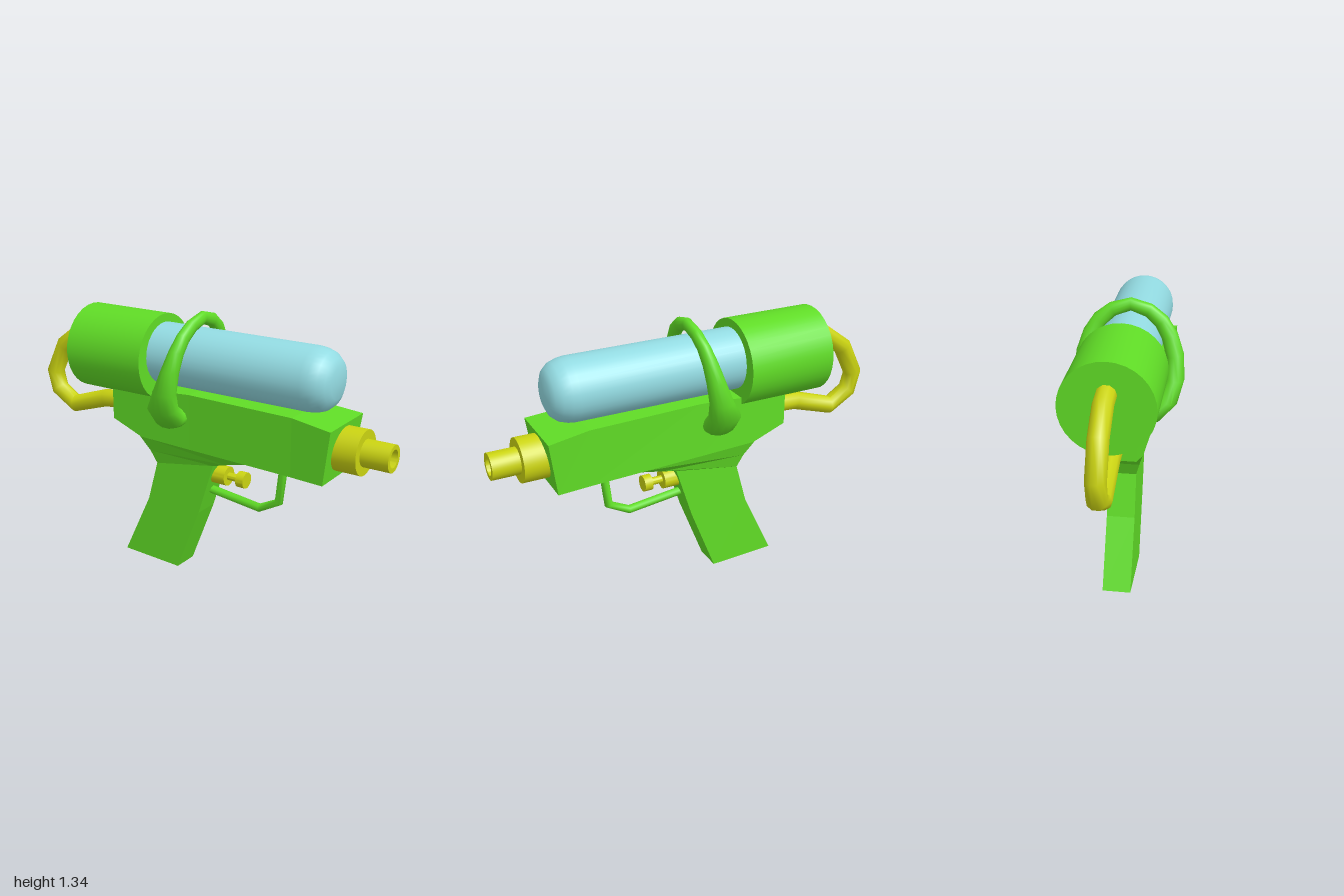
import * as THREE from 'three';
import { toCreasedNormals } from 'three/addons/utils/BufferGeometryUtils.js';

const V = (x, y, z) => new THREE.Vector3(x, y, z);
const MID = -0.01; // centre plane of the body

// Skin closed rings (counter-clockwise seen from the last one) and cap both ends
function loft(rings, crease = 0) {
  const pos = [], n = rings[0].length;
  const tri = (...pts) => pts.forEach((p) => pos.push(p.x, p.y, p.z));
  for (let i = 0; i < rings.length - 1; i++) {
    const a = rings[i], b = rings[i + 1];
    for (let j = 0; j < n; j++) {
      const k = (j + 1) % n;
      tri(a[j], a[k], b[j]);
      tri(a[k], b[k], b[j]);
    }
  }
  const first = rings[0], last = rings[rings.length - 1];
  for (let j = 1; j < n - 1; j++) {
    tri(first[0], first[j + 1], first[j]);
    tri(last[0], last[j], last[j + 1]);
  }
  const g = new THREE.BufferGeometry();
  g.setAttribute('position', new THREE.Float32BufferAttribute(pos, 3));
  g.computeVertexNormals();
  return crease ? toCreasedNormals(g, crease) : g;
}

// Elliptical tube along points; sizes gives [half width along axis, half thickness]
function sweep(points, axis, sizes, sides = 10) {
  return loft(points.map((p, i) => {
    const next = points[Math.min(i + 1, points.length - 1)];
    const prev = points[Math.max(i - 1, 0)];
    const t = next.clone().sub(prev);
    const side = t.cross(axis).normalize();
    const [w, h] = sizes(i);
    return Array.from({ length: sides }, (_, j) => {
      const a = (j / sides) * Math.PI * 2;
      return p.clone().addScaledVector(axis, Math.cos(a) * w).addScaledVector(side, Math.sin(a) * h);
    });
  }), 1.0);
}

// Turned part lying along x, profile as [radius, x]
function turned(profile, y, z = MID, crease = 0.7) {
  const g = new THREE.LatheGeometry(profile.map(([r, x]) => new THREE.Vector2(r, x)), 32);
  g.rotateZ(-Math.PI / 2).translate(0, y, z);
  return toCreasedNormals(g, crease);
}

export function createModel() {
  const group = new THREE.Group();
  const mat = (name, color) => {
    const m = new THREE.MeshStandardMaterial({ color });
    m.name = name;
    return m;
  };
  const green = mat('bright green', 0x60dc26);
  const yellow = mat('lime yellow', 0xcbd412);
  const blue = mat('pale blue', 0x93dbe2);
  const add = (name, geometry, material) => {
    const m = new THREE.Mesh(geometry, material);
    m.name = name;
    group.add(m);
  };

  // Body, widening toward the muzzle: [x bottom, x top, y bottom, y top, half width bottom, top]
  const body = [
    [-0.48, -0.48, 0.75, 0.92, 0.1, 0.1],
    [-0.3, -0.3, 0.687, 0.936, 0.108, 0.108],
    [0, 0, 0.683, 0.96, 0.118, 0.12],
    [0.57, 0.57, 0.678, 0.96, 0.14, 0.145],
    [0.735, 0.77, 0.675, 0.937, 0.148, 0.162],
  ];
  add('body', loft(body.map(([xb, xt, yb, yt, wb, wt]) => [
    V(xb, yb, MID - wb), V(xt, yt, MID - wt), V(xt, yt, MID + wt), V(xb, yb, MID + wb),
  ])), green);

  // Tapered neck between body and grip: [x rear, y rear, x front, y front, half widths]
  const neck = [
    [-0.233, 0.548, 0.105, 0.605, 0.0675, 0.0675],
    [-0.26, 0.615, 0.19, 0.636, 0.085, 0.092],
    [-0.31, 0.69, 0.34, 0.685, 0.107, 0.13],
  ];
  add('gripNeck', loft(neck.map(([xr, yr, xf, yf, wr, wf]) => [
    V(xr, yr, MID - wr), V(xr, yr, MID + wr), V(xf, yf, MID + wf), V(xf, yf, MID - wf),
  ])), green);

  // Grip
  const grip = new THREE.Shape([
    [-0.445, 0.013], [-0.11, 0], [0.02, 0.335], [0.105, 0.605], [-0.233, 0.548], [-0.29, 0.34],
  ].map(([x, y]) => new THREE.Vector2(x, y)));
  add('grip', new THREE.ExtrudeGeometry(grip, { depth: 0.135, bevelEnabled: false })
    .translate(0, 0, MID - 0.0675), green);

  // Water tank and its cap
  add('tankCap', turned([[0, -0.675], [0.212, -0.675], [0.212, -0.225], [0, -0.225]], 1.09), green);
  add('tank', turned([
    [0, -0.3], [0.151, -0.3], [0.151, 0.6], [0.147, 0.635], [0.134, 0.675],
    [0.108, 0.705], [0.075, 0.72], [0, 0.722],
  ], 1.11), blue);

  // Strap over the tank, broad at the body and thin on top: [z, y, x, half width, half thickness]
  const half = [
    [0.05, 0.835, -0.105, 0.092, 0.06], [0.13, 0.84, -0.105, 0.094, 0.06],
    [0.19, 0.9, -0.095, 0.086, 0.052], [0.217, 0.985, -0.064, 0.062, 0.046],
    [0.212, 1.09, -0.035, 0.046, 0.042], [0.185, 1.175, -0.018, 0.036, 0.04],
    [0.145, 1.24, -0.006, 0.03, 0.037], [0.085, 1.288, 0.002, 0.027, 0.034],
  ];
  const strap = [
    ...half, [0, 1.314, 0.006, 0.025, 0.031],
    ...half.map(([z, ...rest]) => [-z, ...rest]).reverse(),
  ];
  add('strap', sweep(strap.map(([z, y, x]) => V(x, y, z)), V(1, 0, 0),
    (i) => [strap[i][3], strap[i][4]], 14), green);

  // Hose from cap to body
  const hose = [
    [-0.64, 1.16], [-0.755, 1.147], [-0.88, 1.056], [-0.955, 0.906],
    [-0.93, 0.81], [-0.82, 0.742], [-0.605, 0.81], [-0.45, 0.82],
  ];
  add('hose', sweep(hose.map(([x, y]) => V(x, y, MID)), V(0, 0, 1), () => [0.046, 0.046]), yellow);

  // Hollow nozzle
  add('nozzle', turned([
    [0, 0.7], [0.106, 0.7], [0.106, 0.867], [0.064, 0.867], [0.064, 1],
    [0.042, 1], [0.042, 0.88], [0, 0.88],
  ], 0.815), yellow);

  // Trigger button on its stem
  add('trigger', turned([
    [0, 0.05], [0.048, 0.05], [0.048, 0.155], [0.019, 0.155], [0.019, 0.215],
    [0.04, 0.215], [0.04, 0.257], [0, 0.257],
  ], 0.541), yellow);

  // Trigger guard
  const guard = [[0.463, 0.7], [0.438, 0.473], [0.332, 0.417], [0.03, 0.453]];
  add('triggerGuard', sweep(guard.map(([x, y]) => V(x, y, MID)), V(0, 0, 1), () => [0.021, 0.021]), green);

  return group;
}
